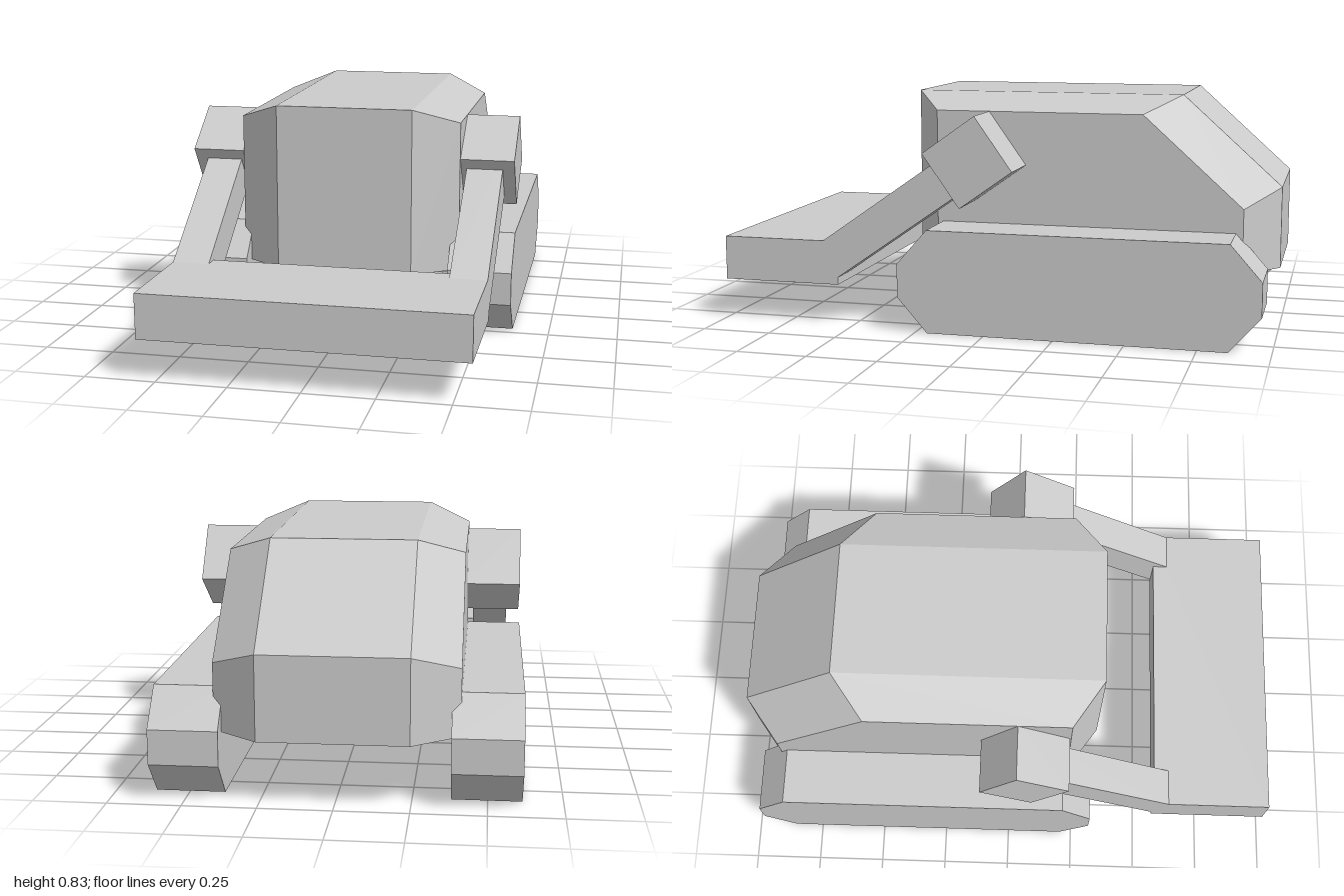
import * as THREE from 'three';

const material = new THREE.MeshStandardMaterial({ color: 0xcccccc, flatShading: true });

function part(name, geometry) {
  const mesh = new THREE.Mesh(geometry, material);
  mesh.name = name;
  return mesh;
}

// Extrude a side profile of [z, y] points across x, from x0 to x1
function sideExtrude(name, profile, x0, x1) {
  const shape = new THREE.Shape(profile.map(([z, y]) => new THREE.Vector2(z, y)));
  const geometry = new THREE.ExtrudeGeometry(shape, { depth: x1 - x0, bevelEnabled: false });
  geometry.rotateY(-Math.PI / 2);
  geometry.translate(x1, 0, 0);
  return part(name, geometry);
}

// Skin [z, y] rings placed at increasing x, with flat end caps
function loft(sections) {
  const positions = [];
  const point = ([x, ring], i) => [x, ring[i % ring.length][1], ring[i % ring.length][0]];
  const tri = (a, b, c) => positions.push(...a, ...b, ...c);
  const n = sections[0][1].length;
  for (let k = 0; k < sections.length - 1; k++) {
    const s = sections[k], t = sections[k + 1];
    for (let i = 0; i < n; i++) {
      tri(point(s, i), point(t, i), point(t, i + 1));
      tri(point(s, i), point(t, i + 1), point(s, i + 1));
    }
  }
  const first = sections[0], last = sections[sections.length - 1];
  for (let i = 1; i < n - 1; i++) {
    tri(point(first, 0), point(first, i), point(first, i + 1));
    tri(point(last, 0), point(last, i + 1), point(last, i));
  }
  const geometry = new THREE.BufferGeometry();
  geometry.setAttribute('position', new THREE.Float32BufferAttribute(positions, 3));
  geometry.computeVertexNormals();
  return geometry;
}

export function createModel() {
  const model = new THREE.Group();
  model.name = 'bulldozer';

  // Faceted hull: tall centre section, lower and shorter flanks
  const centre = [[0.34, 0.835], [-0.645, 0.835], [-1, 0.515], [-1, 0.225], [0.34, 0.225]];
  const flank = [[0.225, 0.775], [-0.525, 0.775], [-0.88, 0.455], [-0.88, 0.225], [0.225, 0.225]];
  model.add(part('body', loft([[-0.41, flank], [-0.25, centre], [0.25, centre], [0.41, flank]])));

  // Front blade
  const blade = part('blade', new THREE.BoxGeometry(1.125, 0.16, 0.44));
  blade.position.set(0, 0.225, 0.78);
  model.add(blade);

  const track = [[0.205, 0], [0.315, 0.125], [0.315, 0.245], [0.205, 0.37],
    [-0.855, 0.37], [-0.965, 0.245], [-0.965, 0.125], [-0.855, 0]];
  const arm = [[0.615, 0.305], [0.1, 0.665], [0.04, 0.535], [0.56, 0.172], [0.6, 0.155]];
  const pivot = [[0.22, 0.64], [0.03, 0.775], [-0.105, 0.585], [0.085, 0.45]];

  // Track, lifting arm and shoulder block on each side
  for (const [side, sign] of [['left', 1], ['right', -1]]) {
    const add = (name, profile, inner, outer) => model.add(sideExtrude(
      side + name, profile, Math.min(sign * inner, sign * outer), Math.max(sign * inner, sign * outer)));
    add('Track', track, 0.38, 0.615);
    add('Arm', arm, 0.43, 0.5625);
    add('ShoulderBlock', pivot, 0.39, 0.607);
  }
  return model;
}
